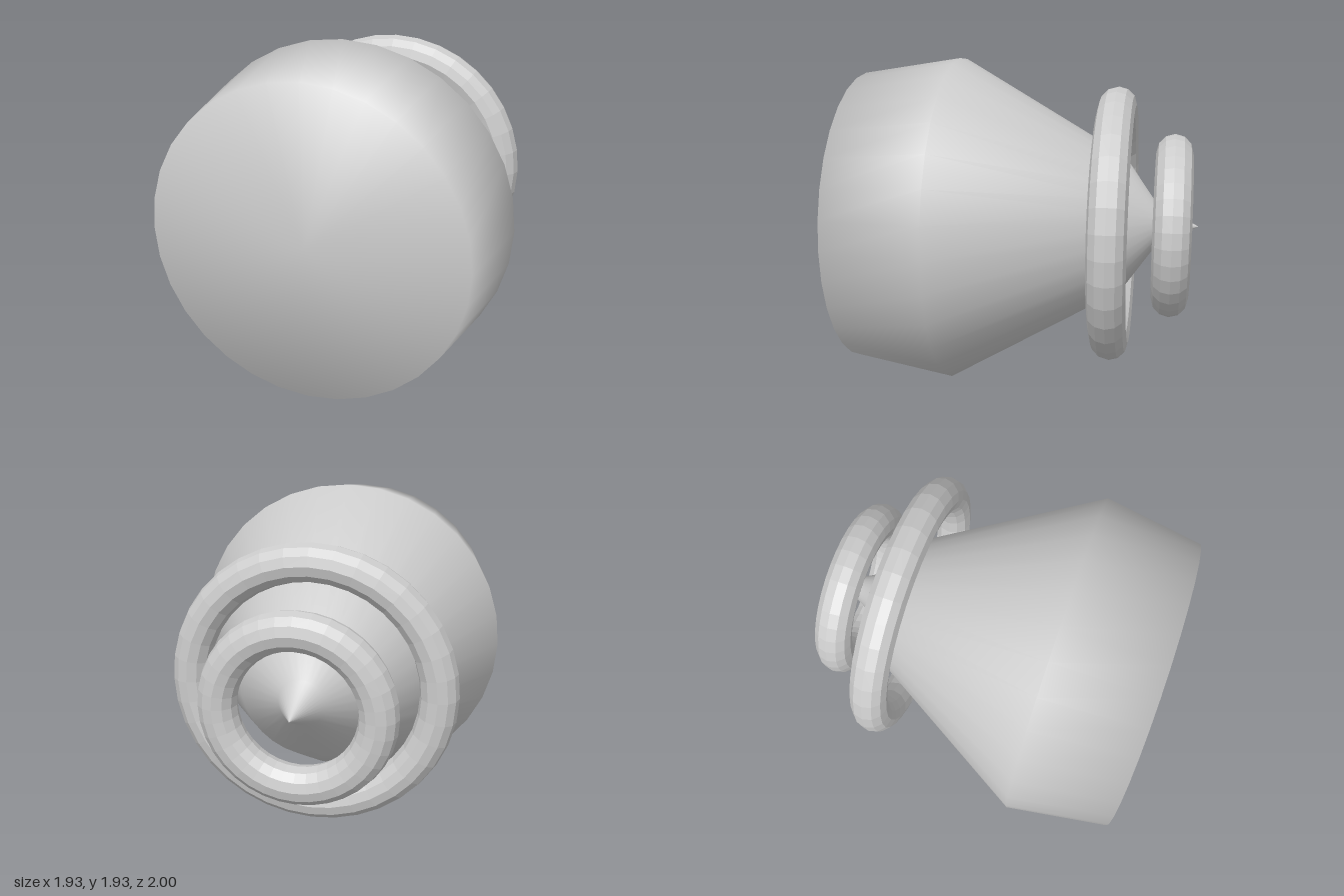
import * as THREE from 'three';

export function createModel() {
  const group = new THREE.Group();
  const grey = new THREE.MeshStandardMaterial({ color: 0xcccccc });
  grey.name = 'light grey';
  const centerY = 0.965;

  const add = (name, geometry, z = 0) => {
    const mesh = new THREE.Mesh(geometry, grey);
    mesh.name = name;
    mesh.position.set(0, centerY, z);
    group.add(mesh);
  };

  // Smooth body: [radius, z] from the rear spike to the flat front cap
  const profile = [
    [0, -1], [0.13, -0.75], [0.405, -0.555],
    [0.963, 0.42], [0.87, 1], [0, 1],
  ].map(([r, z]) => new THREE.Vector2(r, z));
  add('body', new THREE.LatheGeometry(profile, 32).rotateX(Math.PI / 2));

  // Faceted rings floating around the rear cone
  const ring = (outerRadius) => {
    const tube = 0.107;
    const geometry = new THREE.TorusGeometry(outerRadius - tube, tube, 12, 36).toNonIndexed();
    geometry.computeVertexNormals();
    return geometry;
  };
  add('largeRing', ring(0.81), -0.507);
  add('smallRing', ring(0.54), -0.845);

  return group;
}
